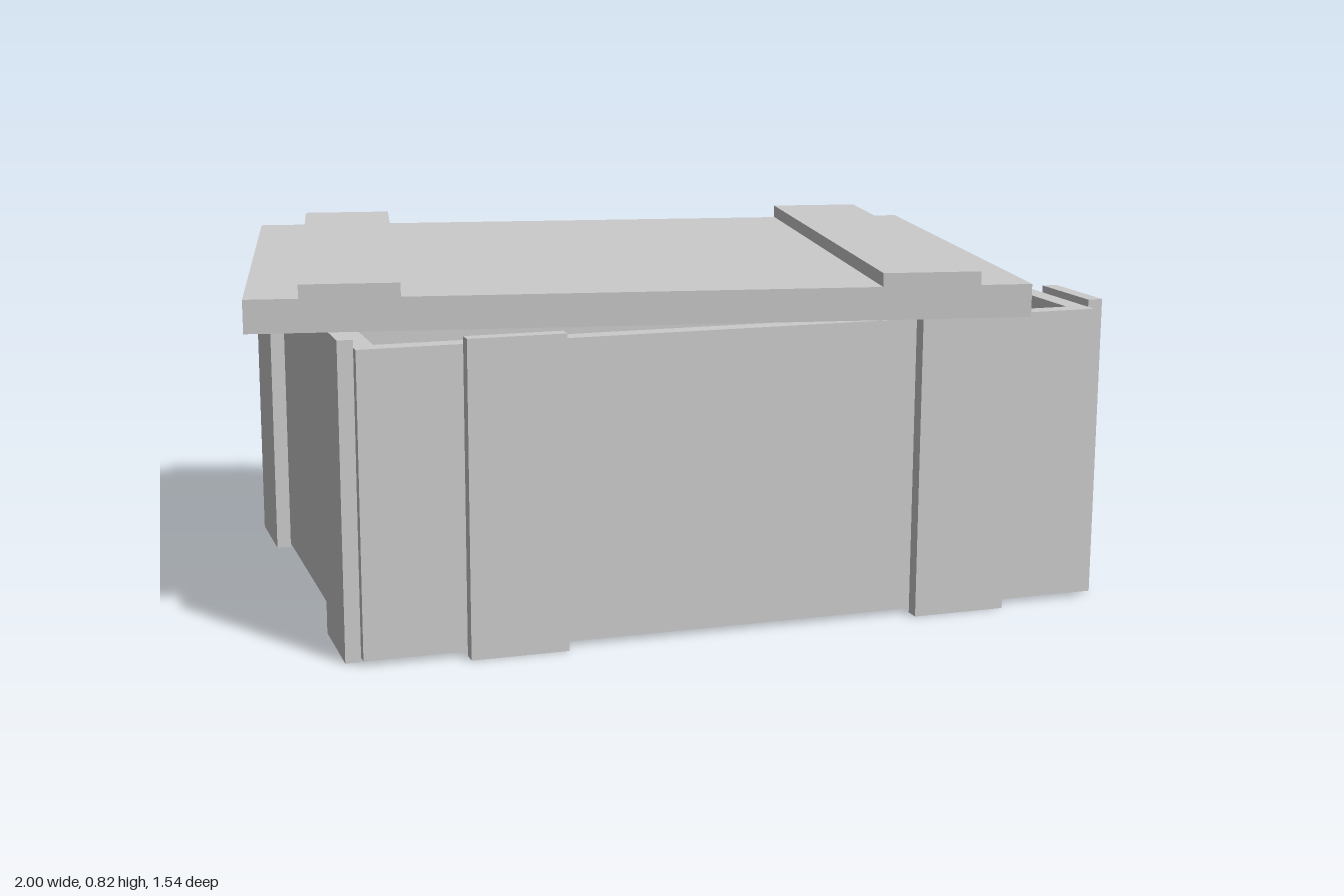
import * as THREE from 'three';

const mat = new THREE.MeshStandardMaterial({ color: 0xcccccc, flatShading: true, side: THREE.DoubleSide });

// Box given by its min and max on each axis
function block(name, [x0, x1], [y0, y1], [z0, z1]) {
  const mesh = new THREE.Mesh(new THREE.BoxGeometry(x1 - x0, y1 - y0, z1 - z0), mat);
  mesh.position.set((x0 + x1) / 2, (y0 + y1) / 2, (z0 + z1) / 2);
  mesh.name = name;
  return mesh;
}

// Open-bottomed shell: outer wall, top rim, inner wall and raised floor
function crateShell() {
  const halfX = 0.875, halfZ = 0.627, wall = 0.047;
  const rings = [[0, 0.01], [0, 0.70], [wall, 0.70], [wall, 0.25]]; // inset, height
  const pos = [], index = [];
  for (const [inset, y] of rings) {
    const x = halfX - inset, z = halfZ - inset;
    pos.push(-x, y, z, x, y, z, x, y, -z, -x, y, -z);
  }
  for (let r = 0; r < rings.length - 1; r++) {
    for (let i = 0; i < 4; i++) {
      const a = r * 4 + i, b = r * 4 + (i + 1) % 4;
      index.push(a, b, b + 4, a, b + 4, a + 4);
    }
  }
  const f = (rings.length - 1) * 4;
  index.push(f, f + 1, f + 2, f, f + 2, f + 3);
  const geo = new THREE.BufferGeometry();
  geo.setAttribute('position', new THREE.Float32BufferAttribute(pos, 3));
  geo.setIndex(index);
  const flat = geo.toNonIndexed();
  flat.computeVertexNormals();
  const mesh = new THREE.Mesh(flat, mat);
  mesh.name = 'crateShell';
  mesh.position.set(0.087, 0, -0.004);
  return mesh;
}

export function createModel() {
  const model = new THREE.Group();
  model.name = 'crate';
  model.add(crateShell());

  // Upright battens, two on each side of the crate
  const height = [0, 0.717];
  for (const x of [[-0.555, -0.332], [0.508, 0.732]]) {
    model.add(block('frontBatten', x, height, [0.623, 0.658]));
    model.add(block('backBatten', x, height, [-0.665, -0.631]));
  }
  for (const z of [[0.37, 0.595], [-0.6, -0.375]]) {
    model.add(block('leftBatten', [0.962, 0.998], height, z));
    model.add(block('rightBatten', [-0.823, -0.788], height, z));
  }

  // Lid, turned askew, with two battens across the top
  const lid = new THREE.Group();
  lid.name = 'lid';
  lid.add(block('lidPanel', [-0.874, 0.874], [0.717, 0.792], [-0.625, 0.625]));
  for (const x of [[-0.755, -0.535], [0.532, 0.756]]) {
    lid.add(block('lidBatten', x, [0.792, 0.823], [-0.633, 0.626]));
  }
  lid.position.x = -0.03;
  lid.rotation.y = -0.178;
  model.add(lid);
  return model;
}
